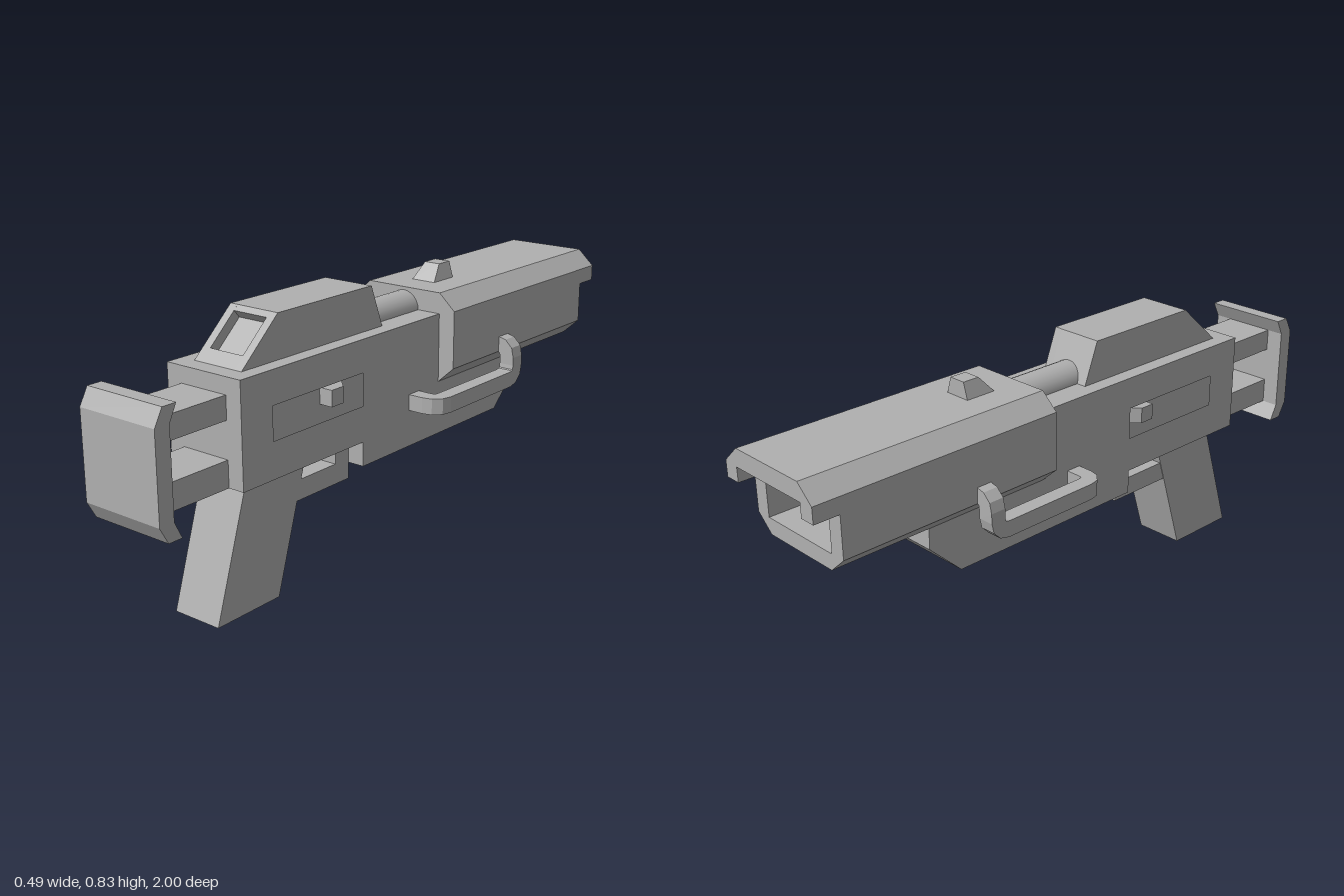
import * as THREE from 'three';

const grey = new THREE.MeshStandardMaterial({ color: 0xb0b0b0 });
grey.name = 'plain grey';

const shapeOf = (pts) => new THREE.Shape(pts.map(([a, b]) => new THREE.Vector2(a, b)));
const extrude = (shape, depth) => new THREE.ExtrudeGeometry(shape, { depth, bevelEnabled: false });

// Side profile given as [z, y], spanning x0..x1
function sideSlab(pts, x0, x1, hole) {
  const shape = shapeOf(pts);
  if (hole) shape.holes.push(shapeOf(hole));
  return extrude(shape, x1 - x0).rotateY(-Math.PI / 2).translate(x1, 0, 0);
}

// Front profile given as [x, y], spanning z0..z1
function frontSlab(pts, z0, z1, hole) {
  const shape = shapeOf(pts);
  if (hole) shape.holes.push(shapeOf(hole));
  return extrude(shape, z1 - z0).translate(0, 0, z0);
}

// Plan profile given as [x, z], spanning y0..y1
function planSlab(pts, y0, y1) {
  return extrude(shapeOf(pts.map(([x, z]) => [x, -z])), y1 - y0).rotateX(-Math.PI / 2).translate(0, y0, 0);
}

function box(x0, x1, y0, y1, z0, z1) {
  return new THREE.BoxGeometry(x1 - x0, y1 - y0, z1 - z0)
    .translate((x0 + x1) / 2, (y0 + y1) / 2, (z0 + z1) / 2);
}

// Square bar swept along a path of points
function squareBar(points, half) {
  const pos = [], index = [], last = points.length - 1;
  const dir = (i) => points[i + 1].clone().sub(points[i]).normalize();
  const up = new THREE.Vector3(0, 1, 0);
  let previous = dir(0);
  points.forEach((p, i) => {
    const t = i === 0 ? dir(0) : i === last ? dir(last - 1) : dir(i - 1).add(dir(i)).normalize();
    up.applyQuaternion(new THREE.Quaternion().setFromUnitVectors(previous, t));
    previous = t;
    const side = up.clone().cross(t);
    for (const [a, b] of [[-1, -1], [1, -1], [1, 1], [-1, 1]]) {
      pos.push(...p.clone().addScaledVector(side, a * half).addScaledVector(up, b * half).toArray());
    }
    if (i < last) {
      for (let k = 0; k < 4; k++) {
        const a = i * 4 + k, b = i * 4 + (k + 1) % 4;
        index.push(a, b, b + 4, a, b + 4, a + 4);
      }
    }
  });
  const e = last * 4;
  index.push(0, 2, 1, 0, 3, 2, e, e + 1, e + 2, e, e + 2, e + 3);
  const g = new THREE.BufferGeometry();
  g.setAttribute('position', new THREE.Float32BufferAttribute(pos, 3));
  g.setIndex(index);
  const flat = g.toNonIndexed();
  flat.computeVertexNormals();
  return flat;
}

// Path with each inner corner rounded into three short segments
function roundedPath(corners, r) {
  const out = [corners[0]];
  for (let i = 1; i < corners.length - 1; i++) {
    const c = corners[i];
    const a = c.clone().add(corners[i - 1].clone().sub(c).setLength(r));
    const b = c.clone().add(corners[i + 1].clone().sub(c).setLength(r));
    out.push(...new THREE.QuadraticBezierCurve3(a, c, b).getPoints(3));
  }
  out.push(corners[corners.length - 1]);
  return out;
}

export function createModel() {
  const model = new THREE.Group();
  model.name = 'toyBlaster';
  const add = (name, geometry) => {
    const mesh = new THREE.Mesh(geometry, grey);
    mesh.name = name;
    model.add(mesh);
  };

  // Main body: a solid core between two side plates with a slot
  const body = [[0.7, 0.39], [0.2, 0.39], [0.2, 0.315], [-0.49, 0.315], [-0.6, 0.42],
    [-0.6, 0.5], [-0.18, 0.5], [-0.18, 0.7], [0.7, 0.7]];
  const slot = [[0.58, 0.5], [0.2, 0.5], [0.2, 0.6], [0.58, 0.6]];
  add('bodyCore', sideSlab(body, -0.075, 0.075));
  add('leftBodyPlate', sideSlab(body, 0.075, 0.135, slot));
  add('rightBodyPlate', sideSlab(body, -0.135, -0.075, slot));

  // Grip and trigger guard
  add('grip', sideSlab([[0.76, 0], [0.515, 0], [0.39, 0.4], [0.632, 0.4]], -0.082, 0.082));
  add('triggerGuard', sideSlab([[0.435, 0.265], [0.2, 0.265], [0.2, 0.39], [0.26, 0.39],
    [0.26, 0.327], [0.415, 0.327]], -0.08, 0.08));

  // Shoulder stock: two bars and a flanged plate
  add('upperStockBar', box(-0.082, 0.082, 0.58, 0.65, 0.69, 0.96));
  add('lowerStockBar', box(-0.082, 0.082, 0.39, 0.47, 0.69, 0.96));
  add('stockPlate', sideSlab([[1, 0.39], [1, 0.65], [0.972, 0.7], [0.925, 0.7], [0.95, 0.65],
    [0.95, 0.39], [0.925, 0.34], [0.972, 0.34]], -0.137, 0.137));

  // Top housing with a recessed window in its sloping face
  const housing = [[0.645, 0.7], [0.5, 0.83], [0.1, 0.83], [0.05, 0.7]];
  const notched = [[0.645, 0.7], [0.61, 0.7313], [0.59, 0.709], [0.4955, 0.7936], [0.5155, 0.816],
    [0.5, 0.83], [0.1, 0.83], [0.05, 0.7]];
  add('housingCentre', sideSlab(notched, -0.06, 0.06));
  add('housingLeftSide', sideSlab(housing, 0.06, 0.087));
  add('housingRightSide', sideSlab(housing, -0.087, -0.06));

  // Round tube joining the housing and the shroud
  add('tube', new THREE.CylinderGeometry(0.055, 0.055, 0.26, 24).rotateX(Math.PI / 2).translate(0, 0.7, -0.06));

  // Barrel shroud: solid rear, hollow muzzle, overhanging lip
  const outline = [[-0.135, 0.485], [0.135, 0.485], [0.19, 0.535], [0.19, 0.715],
    [0.135, 0.765], [-0.135, 0.765], [-0.19, 0.715], [-0.19, 0.535]];
  const bore = [[-0.14, 0.535], [0.14, 0.535], [0.14, 0.71], [-0.14, 0.71]];
  add('shroudRear', frontSlab(outline, -0.55, -0.17));
  add('shroudMuzzle', frontSlab(outline, -0.92, -0.55, bore));
  add('shroudLip', frontSlab([[0.14, 0.665], [0.19, 0.665], [0.19, 0.715], [0.135, 0.765], [-0.135, 0.765],
    [-0.19, 0.715], [-0.19, 0.665], [-0.14, 0.665], [-0.14, 0.71], [0.14, 0.71]], -1, -0.92));

  // Sight: a block tapering upwards with a sloping near face
  const sight = new THREE.BoxGeometry(0.084, 0.05, 0.1).translate(0, 0.79, -0.32);
  const p = sight.attributes.position;
  for (let i = 0; i < p.count; i++) {
    if (p.getY(i) > 0.79) {
      p.setX(i, p.getX(i) * 0.65);
      if (p.getZ(i) > -0.32) p.setZ(i, -0.315);
    }
  }
  sight.computeVertexNormals();
  add('sight', sight);

  // Side handles and the sliding catches in the slots
  for (const [side, s] of [['left', 1], ['right', -1]]) {
    const corners = [[0.12, 0.455, -0.045], [0.221, 0.455, -0.045], [0.221, 0.455, -0.446],
      [0.221, 0.56, -0.446], [0.17, 0.56, -0.446]].map(([x, y, z]) => new THREE.Vector3(x * s, y, z));
    add(side + 'Handle', squareBar(roundedPath(corners, 0.04), 0.025));
    add(side + 'Catch', planSlab([[0.07, 0.32], [0.12, 0.32], [0.12, 0.27], [0.07, 0.22]]
      .map(([x, z]) => [x * s, z]), 0.525, 0.575));
  }
  return model;
}
